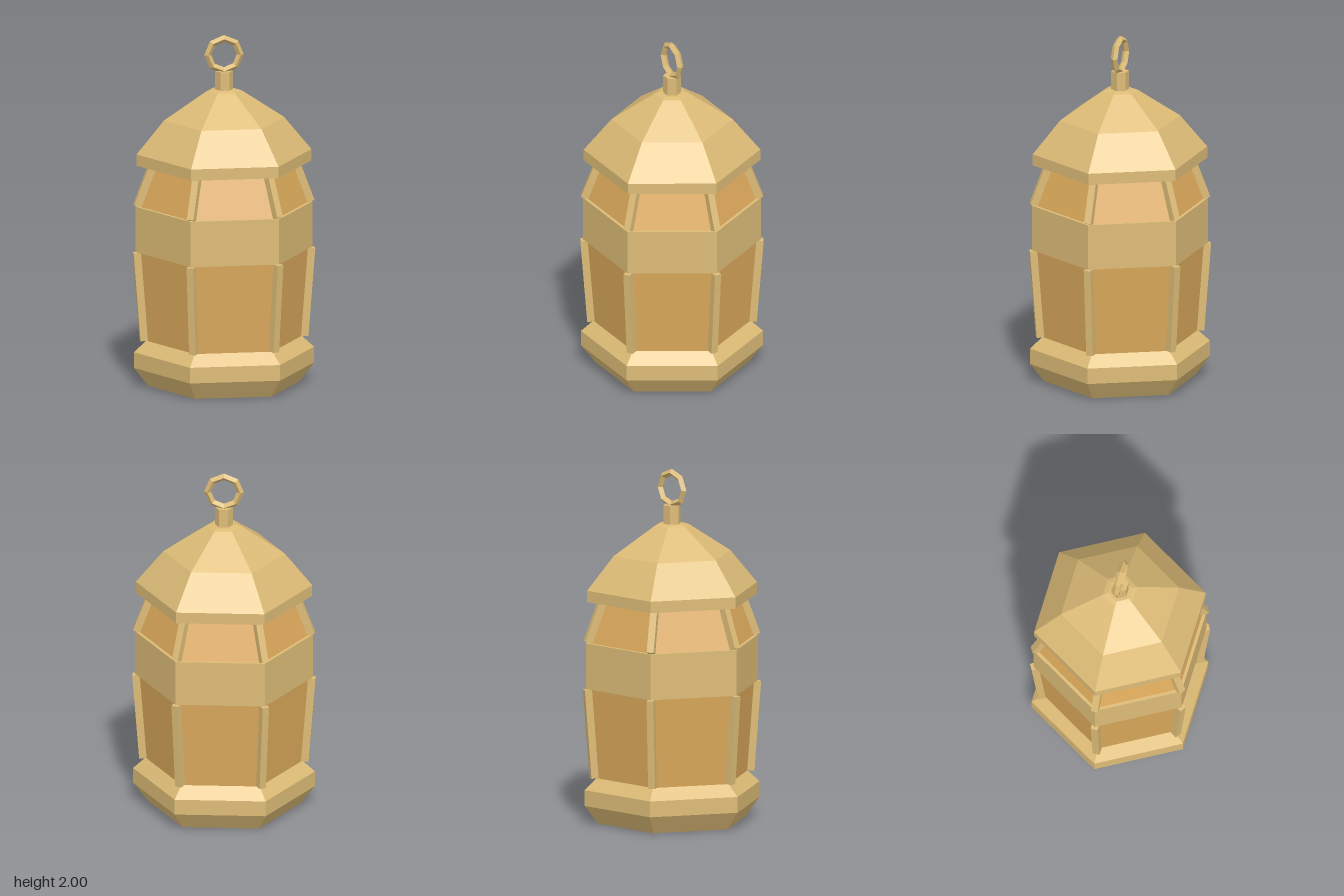
import * as THREE from 'three';

const brass = new THREE.MeshStandardMaterial({ color: 0xdcbb76 });
brass.name = 'brass';
const amber = new THREE.MeshStandardMaterial({ color: 0xdba95b });
amber.name = 'amber glass';

// Faceted mesh: every face gets its own flat normals
function faceted(name, geometry, material) {
  const flat = geometry.index ? geometry.toNonIndexed() : geometry;
  flat.computeVertexNormals();
  const mesh = new THREE.Mesh(flat, material);
  mesh.name = name;
  return mesh;
}

// Closed six-sided body from [radius, y] pairs, bottom to top, corners on the x axis
function hexBody(name, profile, material) {
  const first = profile[0], last = profile[profile.length - 1];
  const points = [[0, first[1]], ...profile, [0, last[1]]].map(([r, y]) => new THREE.Vector2(r, y));
  return faceted(name, new THREE.LatheGeometry(points, 6, Math.PI / 2), material);
}

// Six leaning corner bars between two [radius, y] points
function cornerBars(name, [r0, y0], [r1, y1]) {
  const group = new THREE.Group();
  group.name = name;
  const length = Math.hypot(r1 - r0, y1 - y0);
  for (let i = 0; i < 6; i++) {
    const arm = new THREE.Group();
    arm.name = name + 'Arm';
    arm.rotation.y = i * Math.PI / 3;
    const bar = faceted('cornerBar', new THREE.BoxGeometry(0.042, length, 0.04), brass);
    bar.position.set((r0 + r1) / 2, (y0 + y1) / 2, 0);
    bar.rotation.z = -Math.atan2(r1 - r0, y1 - y0);
    arm.add(bar);
    group.add(arm);
  }
  return group;
}

export function createModel() {
  const lantern = new THREE.Group();
  lantern.name = 'lantern';

  // Body, from the foot up
  lantern.add(
    hexBody('base', [[0.43, 0], [0.51, 0.105], [0.51, 0.195], [0.44, 0.26]], brass),
    hexBody('lowerGlass', [[0.44, 0.255], [0.482, 0.775]], amber),
    cornerBars('lowerBars', [0.454, 0.262], [0.493, 0.768]),
    hexBody('middleBand', [[0.5, 0.77], [0.5, 1.03]], brass),
    hexBody('upperGlass', [[0.482, 1.025], [0.386, 1.275]], amber),
    cornerBars('upperBars', [0.49, 1.035], [0.397, 1.285]),
    hexBody('roof', [[0.495, 1.265], [0.495, 1.33], [0.34, 1.52], [0.1, 1.68], [0.07, 1.69]], brass),
    hexBody('stem', [[0.05, 1.68], [0.05, 1.795]], brass),
  );

  // Eight-sided hanging ring with a diamond section
  const ring = faceted('hangingRing', new THREE.TorusGeometry(0.092, 0.02, 4, 8), brass);
  ring.position.y = 1.888;
  lantern.add(ring);
  return lantern;
}
